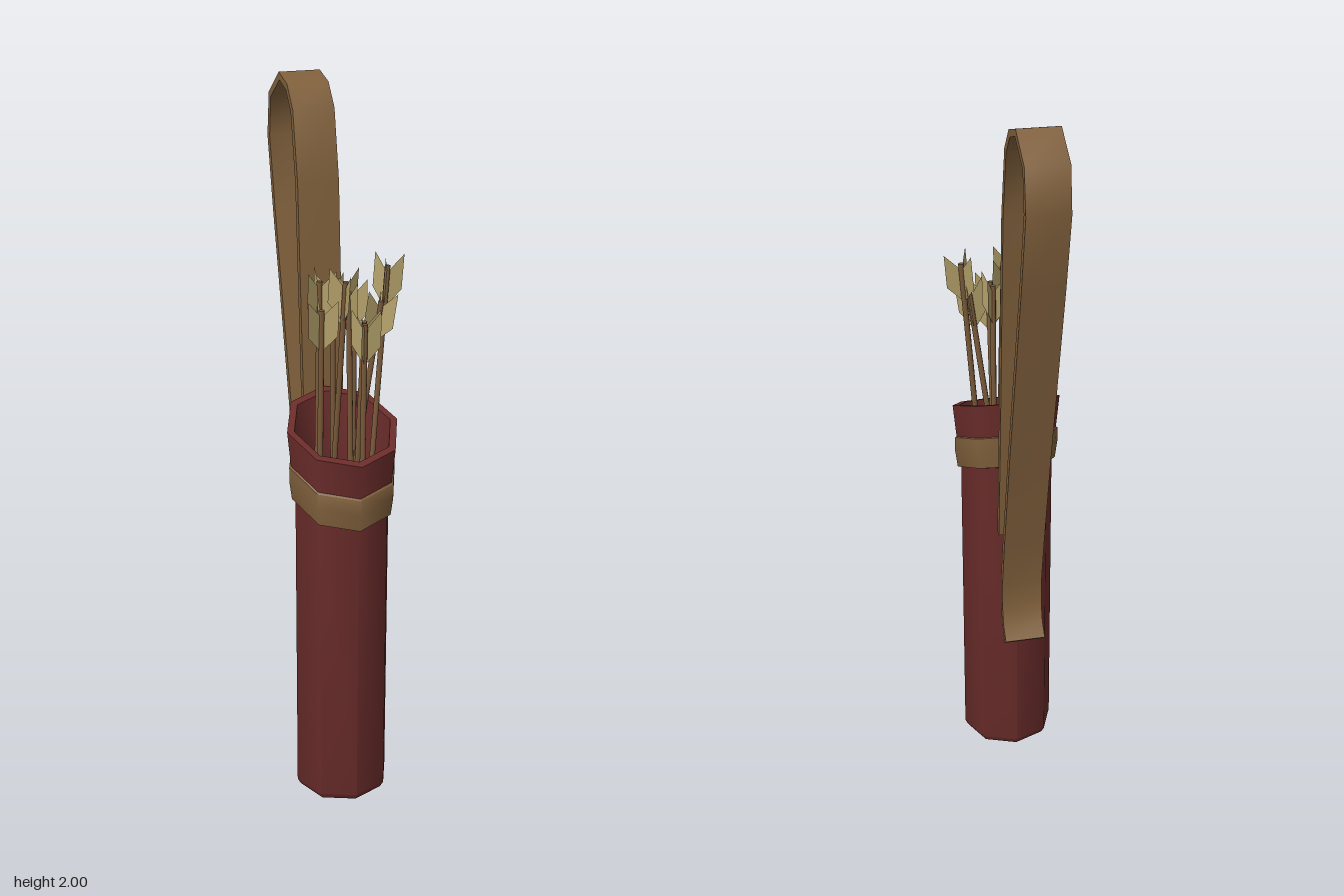
import * as THREE from 'three';
import { toCreasedNormals } from 'three/addons/utils/BufferGeometryUtils.js';

const CX = -0.01, CZ = 0.155; // axis of the quiver tube
const material = (color, extra = {}) => new THREE.MeshStandardMaterial({ color, ...extra });
const leather = material(0x6b2d2b);
const tan = material(0x80603c);
const wood = material(0x7a5a3a);
const feather = material(0xb3a06a, { side: THREE.DoubleSide });

function mesh(name, geometry, mat) {
  const m = new THREE.Mesh(geometry, mat);
  m.name = name;
  return m;
}

// Octagonal lathe whose upper part is sheared so the mouth slopes down to the front
function slantedLathe(profile) {
  const geo = new THREE.LatheGeometry(profile.map(p => new THREE.Vector2(...p)), 8);
  const pos = geo.attributes.position;
  for (let i = 0; i < pos.count; i++) {
    if (pos.getY(i) > 0.8) pos.setY(i, pos.getY(i) - pos.getZ(i) * 0.38);
  }
  geo.translate(CX, 0, CZ);
  return toCreasedNormals(geo, 0.85);
}

// Flat ribbon following a (z, y) path, extruded across x
function strapGeometry(path, thickness, width) {
  const pts = path.map(p => new THREE.Vector2(...p));
  const left = [], right = [];
  pts.forEach((p, i) => {
    const a = pts[Math.max(i - 1, 0)], b = pts[Math.min(i + 1, pts.length - 1)];
    const t = b.clone().sub(a).normalize();
    const n = new THREE.Vector2(-t.y, t.x).multiplyScalar(thickness / 2);
    left.push(p.clone().add(n));
    right.unshift(p.clone().sub(n));
  });
  const geo = new THREE.ExtrudeGeometry(new THREE.Shape([...left, ...right]), { depth: width, bevelEnabled: false });
  geo.rotateY(-Math.PI / 2);
  geo.translate(CX + width / 2, 0, 0);
  return toCreasedNormals(geo, 0.85);
}

// Swept-back fletching vane, measured from the tail end of the shaft
const vaneGeometry = new THREE.ShapeGeometry(new THREE.Shape([
  new THREE.Vector2(0.004, -0.11), new THREE.Vector2(0.045, -0.065),
  new THREE.Vector2(0.045, 0.03), new THREE.Vector2(0.004, -0.015),
]));

function arrow([x, y, z, footX, footZ, yaw]) {
  const group = new THREE.Group();
  group.name = 'arrow';
  const foot = new THREE.Vector3(footX, 0.045, footZ);
  const tail = new THREE.Vector3(x, y, z);
  const dir = tail.clone().sub(foot);
  const length = dir.length();
  const shaft = mesh('arrowShaft', new THREE.CylinderGeometry(0.008, 0.008, length, 8), wood);
  shaft.position.y = -length / 2;
  group.add(shaft);
  for (let i = 0; i < 3; i++) {
    const vane = mesh('arrowVane', vaneGeometry, feather);
    vane.rotation.y = -THREE.MathUtils.degToRad(yaw + i * 120);
    group.add(vane);
  }
  group.position.copy(tail);
  group.quaternion.setFromUnitVectors(new THREE.Vector3(0, 1, 0), dir.normalize());
  return group;
}

export function createModel() {
  const model = new THREE.Group();
  model.name = 'quiver';

  // Hollow tube with a flared mouth
  model.add(mesh('quiverBody', slantedLathe([
    [0, 0], [0.125, 0], [0.135, 0.018], [0.135, 0.915], [0.146, 1.0], [0.157, 1.11],
    [0.137, 1.11], [0.122, 0.98], [0.116, 0.9], [0.116, 0.04], [0, 0.04],
  ]), leather));

  // Tan band below the mouth
  model.add(mesh('quiverBand', slantedLathe([
    [0.134, 0.912], [0.145, 0.914], [0.152, 0.965], [0.152, 1.008], [0.145, 1.012],
  ]), tan));

  // Looped shoulder strap
  model.add(mesh('shoulderStrap', strapGeometry([
    [0.01, 0.76], [-0.02, 1.17], [-0.058, 1.73], [-0.095, 1.915], [-0.14, 1.97], [-0.205, 1.989],
    [-0.293, 1.925], [-0.309, 1.81], [-0.265, 1.61], [-0.125, 1.05], [-0.06, 0.76],
    [-0.033, 0.62], [-0.033, 0.54], [-0.048, 0.485], [-0.08, 0.445],
  ], 0.021, 0.116), tan));

  // Arrows: tail x, y, z, foot x, z, vane turn in degrees
  const arrows = [
    [-0.003, 1.47, 0.05, 0.0, 0.055, 90],
    [0.038, 1.48, 0.108, 0.035, 0.11, 60],
    [0.12, 1.54, 0.137, -0.01, 0.2, 0],
    [0.095, 1.45, 0.158, -0.09, 0.09, 45],
    [0.025, 1.42, 0.222, 0.02, 0.085, 0],
    [-0.024, 1.53, 0.215, -0.06, 0.065, 95],
    [-0.01, 1.5, 0.198, 0.02, 0.18, 200],
    [-0.076, 1.52, 0.157, -0.09, 0.14, 30],
    [-0.1, 1.47, 0.245, -0.096, 0.19, 155],
    [0.008, 1.43, 0.273, 0.008, 0.24, 0],
  ];
  arrows.forEach(a => model.add(arrow(a)));

  return model;
}
